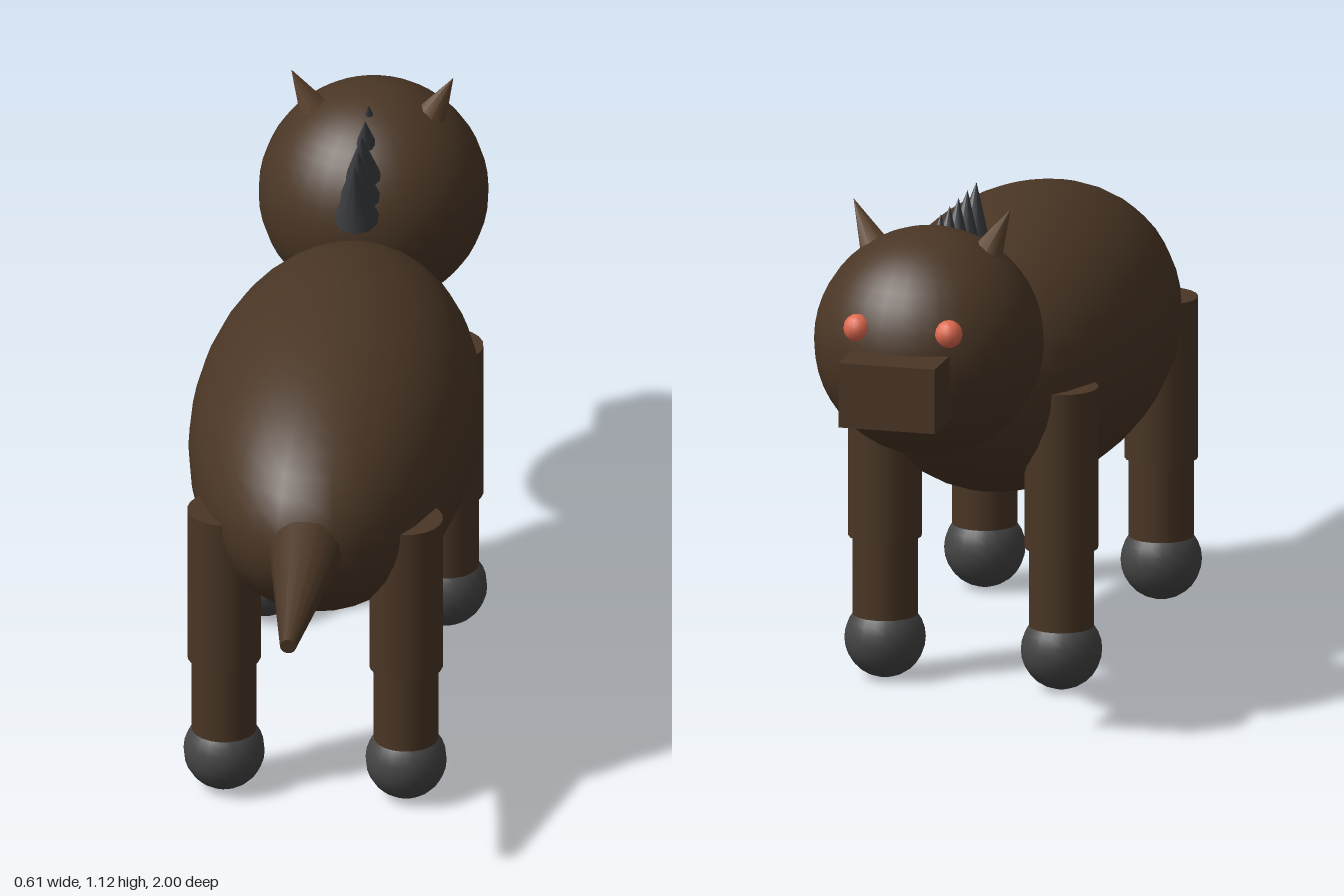
import * as THREE from 'three';

export function createModel() {
  const model = new THREE.Group();
  model.name = 'hornedBeast';

  const material = (name, color) => {
    const m = new THREE.MeshStandardMaterial({ color });
    m.name = name;
    return m;
  };
  const hide = material('darkBrownHide', 0x4a3625);
  const earBrown = material('earBrown', 0x624731);
  const hoofGrey = material('hoofGrey', 0x454545);
  const maneGrey = material('maneGrey', 0x3a3c40);
  const eyeRed = material('eyeRed', 0xe06a50);

  const add = (name, geometry, mat, x, y, z) => {
    const mesh = new THREE.Mesh(geometry, mat);
    mesh.name = name;
    mesh.position.set(x, y, z);
    model.add(mesh);
    return mesh;
  };

  // Round cone or tapered bar running between two points
  const UP = new THREE.Vector3(0, 1, 0);
  const taper = (name, mat, base, tip, rBase, rTip, sides) => {
    const a = new THREE.Vector3(...base), b = new THREE.Vector3(...tip);
    const dir = b.clone().sub(a);
    const mid = a.clone().add(b).multiplyScalar(0.5);
    const mesh = add(name, new THREE.CylinderGeometry(rTip, rBase, dir.length(), sides), mat, mid.x, mid.y, mid.z);
    mesh.quaternion.setFromUnitVectors(UP, dir.normalize());
    return mesh;
  };

  // Torso, head and muzzle; the head points towards -z
  const body = add('body', new THREE.SphereGeometry(1, 32, 24), hide, 0, 0.66, 0.075);
  body.scale.set(0.305, 0.305, 0.61);
  add('head', new THREE.SphereGeometry(0.243, 32, 24), hide, 0, 0.834, -0.665);
  add('muzzle', new THREE.BoxGeometry(0.21, 0.14, 0.24), hide, 0, 0.79, -0.88);

  // Tail
  taper('tail', hide, [0, 0.67, 0.6], [0, 0.619, 1], 0.087, 0.017, 16);

  for (const [side, s] of [['left', 1], ['right', -1]]) {
    // Eyes and ears
    add(side + 'Eye', new THREE.SphereGeometry(0.03, 12, 8), eyeRed, s * 0.1, 0.905, -0.87);
    taper(side + 'Ear', earBrown, [s * 0.115, 1.01, -0.65], [s * 0.172, 1.125, -0.64], 0.04, 0, 8);

    // Legs: thick upper, thinner lower, ball hoof
    for (const [end, z] of [['Rear', 0.472], ['Front', -0.315]]) {
      const x = s * 0.193;
      add(side + end + 'UpperLeg', new THREE.CylinderGeometry(0.078, 0.078, 0.35, 20), hide, x, 0.485, z);
      add(side + end + 'LowerLeg', new THREE.CylinderGeometry(0.069, 0.069, 0.25, 20), hide, x, 0.215, z);
      add(side + end + 'Hoof', new THREE.SphereGeometry(0.086, 20, 14), hoofGrey, x, 0.088, z);
    }
  }

  // Mane spikes, shrinking towards the crown
  for (let i = 0; i < 5; i++) {
    const z = -0.29 - 0.07 * i;
    const length = 0.153 - 0.017 * i;
    taper('maneSpike' + (i + 1), maneGrey,
      [0, 1.085 - length * 0.95, z - length * 0.31], [0, 1.085, z], 0.048 - 0.005 * i, 0, 10);
  }

  return model;
}
